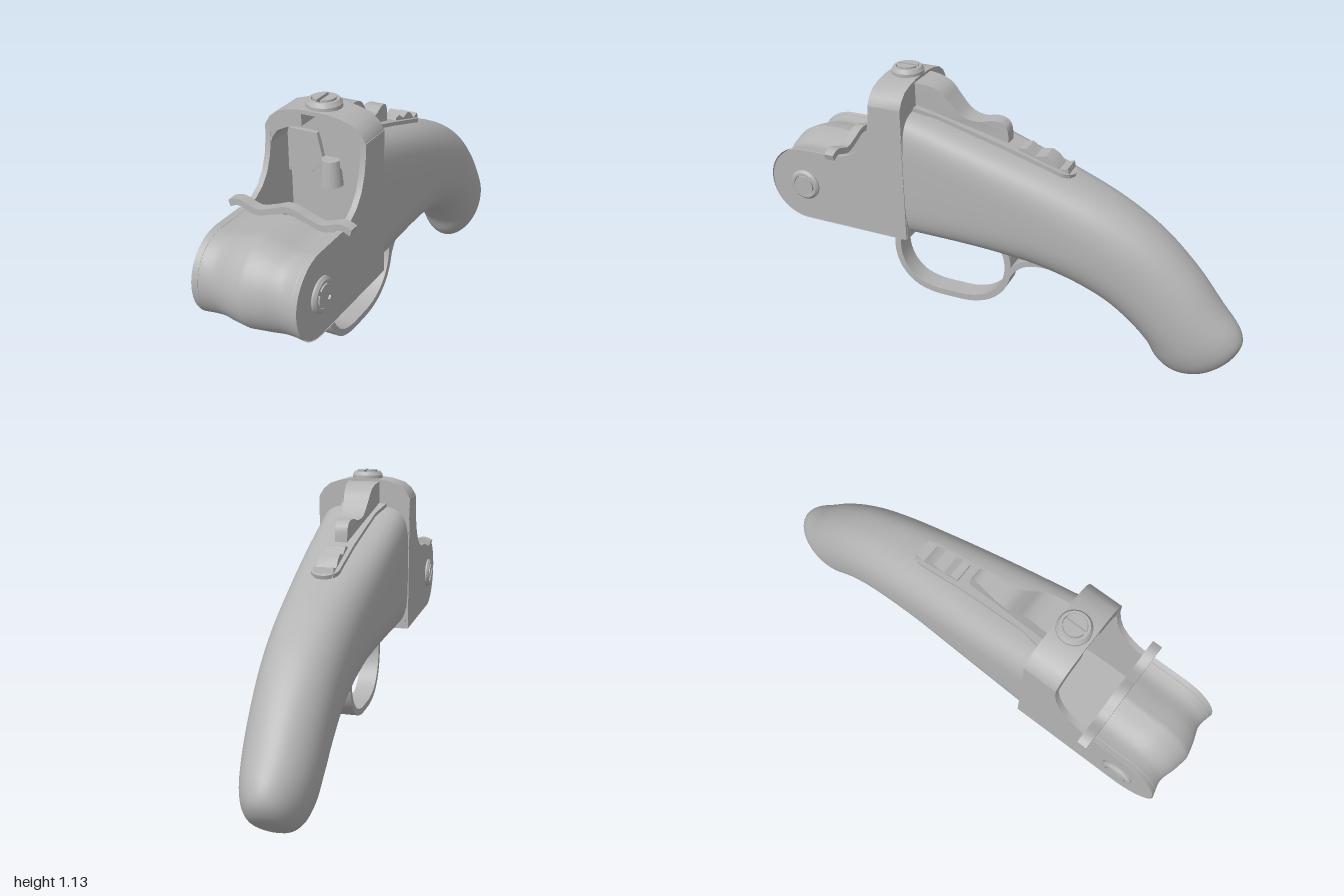
import * as THREE from 'three';
import { toCreasedNormals } from 'three/addons/utils/BufferGeometryUtils.js';

const steel = new THREE.MeshStandardMaterial({ color: 0xb4b4b4, side: THREE.DoubleSide });
steel.name = 'grey';

const V2 = (x, y) => new THREE.Vector2(x, y);

function add(parent, name, geometry) {
  const mesh = new THREE.Mesh(geometry, steel);
  mesh.name = name;
  parent.add(mesh);
  return mesh;
}

function extrude(points, depth, crease = 0.6) {
  const g = new THREE.ExtrudeGeometry(new THREE.Shape(points), { depth, bevelEnabled: false });
  return toCreasedNormals(g, crease);
}

// Side outline of [z, y] pairs, extruded from x0 to x1
function sideExtrude(zy, x0, x1) {
  return extrude(zy.map(([z, y]) => V2(-z, y)), x1 - x0).rotateY(Math.PI / 2).translate(x0, 0, 0);
}

// Outline of a strip of even thickness along a smooth path
function stripOutline(path, thickness, divisions = 40) {
  const curve = new THREE.SplineCurve(path.map(p => V2(...p)));
  const left = [], right = [];
  for (let i = 0; i <= divisions; i++) {
    const p = curve.getPoint(i / divisions), t = curve.getTangent(i / divisions);
    const n = V2(-t.y, t.x).multiplyScalar(thickness / 2);
    left.push(p.clone().add(n));
    right.unshift(p.clone().sub(n));
  }
  return [...left, ...right];
}

// Skin over rows of points
function loft(rows, closed) {
  const n = rows[0].length, index = [];
  for (let i = 0; i < rows.length - 1; i++) {
    for (let j = 0; j < (closed ? n : n - 1); j++) {
      const k = (j + 1) % n, a = i * n + j, b = i * n + k;
      index.push(a, b, a + n, b, b + n, a + n);
    }
  }
  const g = new THREE.BufferGeometry().setFromPoints(rows.flat());
  g.setIndex(index);
  g.computeVertexNormals();
  return g;
}

// Slotted screw, axis along +y
function screw(name, r, h) {
  const s = new THREE.Group();
  s.name = name;
  add(s, 'screwCollar', toCreasedNormals(new THREE.LatheGeometry([
    [0, h * 0.5], [r * 0.68, h * 0.5], [r * 0.7, h * 0.9], [r * 0.85, h * 0.9], [r, h * 0.4], [r, -0.02],
  ].map(p => V2(...p)).reverse(), 32), 0.5));
  for (const turn of [0, Math.PI]) {
    const half = [];
    for (let i = 0; i <= 16; i++) {
      const a = 0.17 + (Math.PI - 0.34) * i / 16;
      half.push(V2(Math.cos(a) * r * 0.64, Math.sin(a) * r * 0.64));
    }
    add(s, 'screwHead', extrude(half, h * 0.8).rotateX(-Math.PI / 2).rotateY(turn).translate(0, h * 0.3, 0));
  }
  return s;
}

function gripGeometry() {
  // top z, top y, bottom z, bottom y, half width, squareness
  const sections = [
    [0.358, 0.985, 0.358, 0.447, 0.197, 4.5], [0.1, 0.904, 0.12, 0.433, 0.187, 3.8],
    [-0.1, 0.842, -0.05, 0.412, 0.178, 3.2], [-0.28, 0.785, -0.2, 0.38, 0.169, 2.7],
    [-0.48, 0.705, -0.36, 0.325, 0.16, 2.4], [-0.65, 0.6, -0.46, 0.275, 0.152, 2.3],
    [-0.8, 0.46, -0.55, 0.205, 0.145, 2.2], [-0.91, 0.325, -0.62, 0.13, 0.138, 2.1],
    [-0.98, 0.245, -0.67, 0.045, 0.125, 2], [-1.0, 0.19, -0.73, 0.005, 0.105, 2],
    [-0.98, 0.13, -0.81, 0.005, 0.073, 2], [-0.9, 0.05, -0.9, 0.05, 0, 2],
  ];
  const top = new THREE.CatmullRomCurve3(sections.map(s => new THREE.Vector3(s[4], s[1], s[0])));
  const bottom = new THREE.CatmullRomCurve3(sections.map(s => new THREE.Vector3(s[5], s[3], s[2])));
  const rows = [];
  for (let i = 0; i <= 55; i++) {
    const t = top.getPoint(i / 55), b = bottom.getPoint(i / 55), row = [];
    for (let j = 0; j < 48; j++) {
      const a = j / 48 * Math.PI * 2, e = 2 / b.x;
      const c = Math.sign(Math.cos(a)) * Math.abs(Math.cos(a)) ** e;
      const s = Math.sign(Math.sin(a)) * Math.abs(Math.sin(a)) ** e;
      const f = (1 + c) / 2;
      row.push(new THREE.Vector3(s * t.x, b.y + (t.y - b.y) * f, b.z + (t.z - b.z) * f));
    }
    rows.push(row);
  }
  return loft(rows, true);
}

// Wavy hinge sleeve running over the nose and back along the floor
function sleeveGeometry() {
  const rows = [], wave = new THREE.SplineCurve(
    [[0, 0.18], [0.06, 0.168], [0.12, 0.15], [0.16, 0.152], [0.2, 0.162]].map(p => V2(...p)));
  for (let i = 0; i <= 32; i++) {
    const u = i / 16 - 1, p = wave.getPoint(Math.abs(u)), x = Math.sign(u) * p.x, row = [];
    row.push(new THREE.Vector3(x, 0.615 + p.y, 0.68));
    for (let j = 0; j <= 24; j++) {
      const a = Math.PI * (0.5 - j / 24);
      const r = THREE.MathUtils.lerp(p.y, 0.161, THREE.MathUtils.smoothstep(j, 13, 24));
      row.push(new THREE.Vector3(x, 0.615 + r * Math.sin(a), 0.82 + r * Math.cos(a)));
    }
    row.push(new THREE.Vector3(x, 0.45, 0.358));
    rows.push(row);
  }
  return loft(rows, false);
}

export function createModel() {
  const model = new THREE.Group();
  model.name = 'pistolFrame';

  add(model, 'grip', gripGeometry());
  add(model, 'hingeSleeve', sleeveGeometry());

  // Side walls with round hinge ears
  const wall = [[0.358, 0.45], [0.66, 0.456]];
  for (let i = 0; i <= 20; i++) {
    const a = Math.PI * (i / 20 - 0.5);
    wall.push([0.82 + 0.157 * Math.cos(a), 0.615 + 0.157 * Math.sin(a)]);
  }
  wall.push([0.66, 0.772], [0.61, 0.785], [0.565, 0.812], [0.53, 0.855], [0.508, 0.91],
    [0.497, 0.97], [0.495, 1.02], [0.358, 1.02]);
  add(model, 'leftWall', sideExtrude(wall, 0.178, 0.2));
  add(model, 'rightWall', sideExtrude(wall, -0.2, -0.178));

  // Arched breech roof with a centre notch, and the wall behind it
  const outer = [[0.2, 1.0], [0.197, 1.025], [0.18, 1.053], [0.15, 1.078], [0.1, 1.093], [0.05, 1.1]];
  const inner = [[0.05, 1.085], [0.05, 1.04], [0.11, 1.025], [0.15, 1.005], [0.172, 0.975], [0.178, 0.95]];
  const mirror = pts => pts.map(([x, y]) => [-x, y]).reverse();
  const toV = pts => pts.map(p => V2(...p));
  add(model, 'breechRoof', extrude(toV([...outer, ...mirror(outer), ...mirror(inner), ...inner]), 0.137)
    .translate(0, 0, 0.358));
  add(model, 'breechWall', extrude(toV([[0.19, 0.45], ...outer, ...mirror(outer), [-0.19, 0.45]]), 0.012)
    .translate(0, 0, 0.356));

  // Slanted cheeks and striker inside the breech
  for (const s of [-1, 1]) {
    const cheek = [[0.18 * s, 0.97], [0.055 * s, 0.97], [0.03 * s, 0.86], [0.09 * s, 0.8], [0.18 * s, 0.8]];
    const g = extrude(toV(cheek), 0.02).translate(0, 0, 0.366);
    add(model, s > 0 ? 'leftCheek' : 'rightCheek', g);
  }
  add(model, 'striker', new THREE.CylinderGeometry(0.035, 0.045, 0.1, 20).translate(0, 0.83, 0.385));

  // Springy wavy strap across the sleeve
  const strap = [[-0.24, 0.785], [-0.2, 0.797], [-0.13, 0.775], [-0.07, 0.79], [0, 0.812],
    [0.07, 0.79], [0.13, 0.775], [0.2, 0.797], [0.24, 0.785]];
  add(model, 'strap', extrude(stripOutline(strap, 0.025), 0.04).translate(0, 0, 0.645));

  // Sloping tang plate with a rounded end
  const tang = [[0.1, 0], [0.075, -0.1], [0.058, -0.4], [0.055, -0.62]];
  for (let i = 1; i < 10; i++) {
    const a = Math.PI * i / 10;
    tang.push([0.055 * Math.cos(a), -0.62 - 0.055 * Math.sin(a)]);
  }
  tang.push([-0.055, -0.62], [-0.058, -0.4], [-0.075, -0.1], [-0.1, 0]);
  const plate = add(model, 'tangPlate', extrude(toV(tang.map(([x, z]) => [x, -z])), 0.03).rotateX(-Math.PI / 2));
  plate.position.set(0, 0.968, 0.36);
  plate.rotation.x = -0.302;

  // Top lever, tapering towards the rear
  const lever = new THREE.SplineCurve([[0.37, 1.09], [0.3, 1.082], [0.25, 1.06], [0.21, 1.015], [0.16, 0.967],
    [0.1, 0.955], [0.05, 0.966], [0.01, 0.962], [-0.015, 0.935], [-0.02, 0.87]].map(p => V2(...p)));
  const leverGeo = sideExtrude([...lever.getPoints(36).map(p => [p.x, p.y]), [0.37, 0.95]], -1, 1);
  const pos = leverGeo.attributes.position;
  for (let i = 0; i < pos.count; i++) {
    const t = THREE.MathUtils.clamp((pos.getZ(i) + 0.02) / 0.36, 0, 1);
    pos.setX(i, pos.getX(i) * (0.025 + 0.043 * t));
  }
  add(model, 'topLever', toCreasedNormals(leverGeo, 0.6));

  // Sliding catch on the tang
  add(model, 'slidingCatch', sideExtrude([[-0.06, 0.85], [-0.07, 0.874], [-0.1, 0.878], [-0.135, 0.852],
    [-0.18, 0.862], [-0.21, 0.845], [-0.235, 0.815], [-0.27, 0.825], [-0.28, 0.78]], -0.04, 0.04));

  // Trigger guard bow and its rear tail, with the strip they join
  const ribbon = (name, path, thickness, half) => {
    const outline = stripOutline(path, thickness, 64).map(p => [p.x, p.y]);
    add(model, name, sideExtrude(outline, -half, half));
  };
  ribbon('triggerGuard', [[0.36, 0.447], [0.43, 0.43], [0.477, 0.38], [0.49, 0.3], [0.468, 0.215], [0.41, 0.15],
    [0.33, 0.122], [0.24, 0.118], [0.15, 0.122], [0.07, 0.15], [0.01, 0.205], [-0.02, 0.28], [-0.018, 0.36],
    [0.01, 0.41], [0.06, 0.44]], 0.028, 0.042);
  ribbon('guardTail', [[-0.01, 0.25], [-0.04, 0.305], [-0.09, 0.348], [-0.16, 0.366], [-0.24, 0.362],
    [-0.32, 0.34]], 0.024, 0.042);
  ribbon('bellyStrip', [[0.36, 0.446], [0.12, 0.432], [-0.05, 0.411], [-0.2, 0.379], [-0.34, 0.335]], 0.012, 0.05);
  add(model, 'triggerSlot', new THREE.BoxGeometry(0.03, 0.008, 0.16).translate(0, 0.428, 0.2));

  // Screws: one on top, one on each hinge ear
  const cap = screw('topScrew', 0.065, 0.03);
  cap.position.set(0, 1.1, 0.42);
  cap.rotation.y = Math.PI / 2;
  model.add(cap);
  for (const s of [-1, 1]) {
    const pin = screw(s > 0 ? 'leftHingeScrew' : 'rightHingeScrew', 0.065, 0.017);
    pin.position.set(0.2 * s, 0.615, 0.82);
    pin.rotation.set(0.9, 0, -s * Math.PI / 2);
    model.add(pin);
  }
  return model;
}
